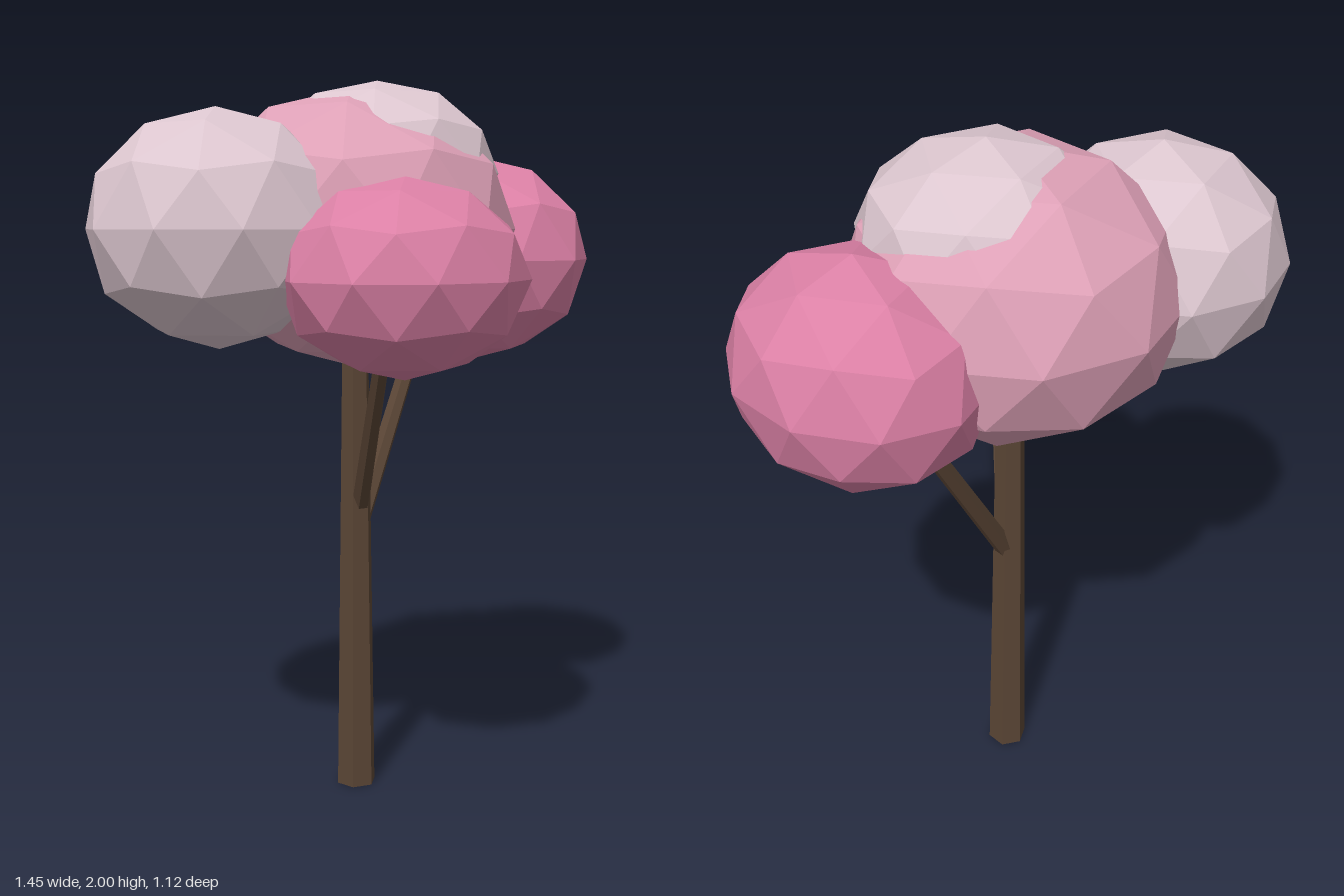
import * as THREE from 'three';

const material = (name, color) => {
  const m = new THREE.MeshStandardMaterial({ color, flatShading: true });
  m.name = name;
  return m;
};

export function createModel() {
  const tree = new THREE.Group();
  tree.name = 'blossomTree';

  const bark = material('bark brown', 0x5a4535);
  const pale = material('pale blossom', 0xdcc6cf);
  const mid = material('soft pink blossom', 0xdda0b6);
  const deep = material('deep pink blossom', 0xdb80a5);

  const add = (name, geometry, mat) => {
    const mesh = new THREE.Mesh(geometry, mat);
    mesh.name = name;
    tree.add(mesh);
    return mesh;
  };

  // Tapered six-sided limb between two points
  const limb = (name, from, to, r0, r1) => {
    const a = new THREE.Vector3(...from);
    const b = new THREE.Vector3(...to);
    const dir = b.clone().sub(a);
    const mesh = add(name, new THREE.CylinderGeometry(r1, r0, dir.length(), 6), bark);
    mesh.position.copy(a).add(b).multiplyScalar(0.5);
    mesh.quaternion.setFromUnitVectors(new THREE.Vector3(0, 1, 0), dir.normalize());
  };

  limb('trunk', [-0.005, 0, -0.075], [-0.005, 1.27, -0.075], 0.057, 0.039);
  limb('leftBranch', [0.0, 0.745, -0.075], [0.385, 1.38, -0.115], 0.029, 0.023);
  limb('rightBranch', [0.0, 0.81, -0.065], [-0.24, 1.38, 0.225], 0.026, 0.021);

  // Faceted ball with one corner pointing straight up
  const ball = new THREE.IcosahedronGeometry(1, 1);
  ball.rotateZ(-Math.atan(2 / (1 + Math.sqrt(5))));

  // Foliage clumps: name, material, centre, radii
  const clumps = [
    ['centreFoliage', mid, [0, 1.6, -0.085], [0.45, 0.381, 0.445]],
    ['topFoliage', pale, [0.05, 1.75, -0.04], [0.33, 0.25, 0.335]],
    ['backRightFoliage', pale, [-0.405, 1.6, -0.21], [0.34, 0.312, 0.352]],
    ['frontRightFoliage', deep, [-0.203, 1.475, 0.25], [0.343, 0.256, 0.31]],
    ['leftFoliage', deep, [0.43, 1.512, 0.01], [0.31, 0.3, 0.36]],
  ];
  for (const [name, mat, centre, radii] of clumps) {
    const mesh = add(name, ball, mat);
    mesh.position.set(...centre);
    mesh.scale.set(...radii);
  }

  return tree;
}
